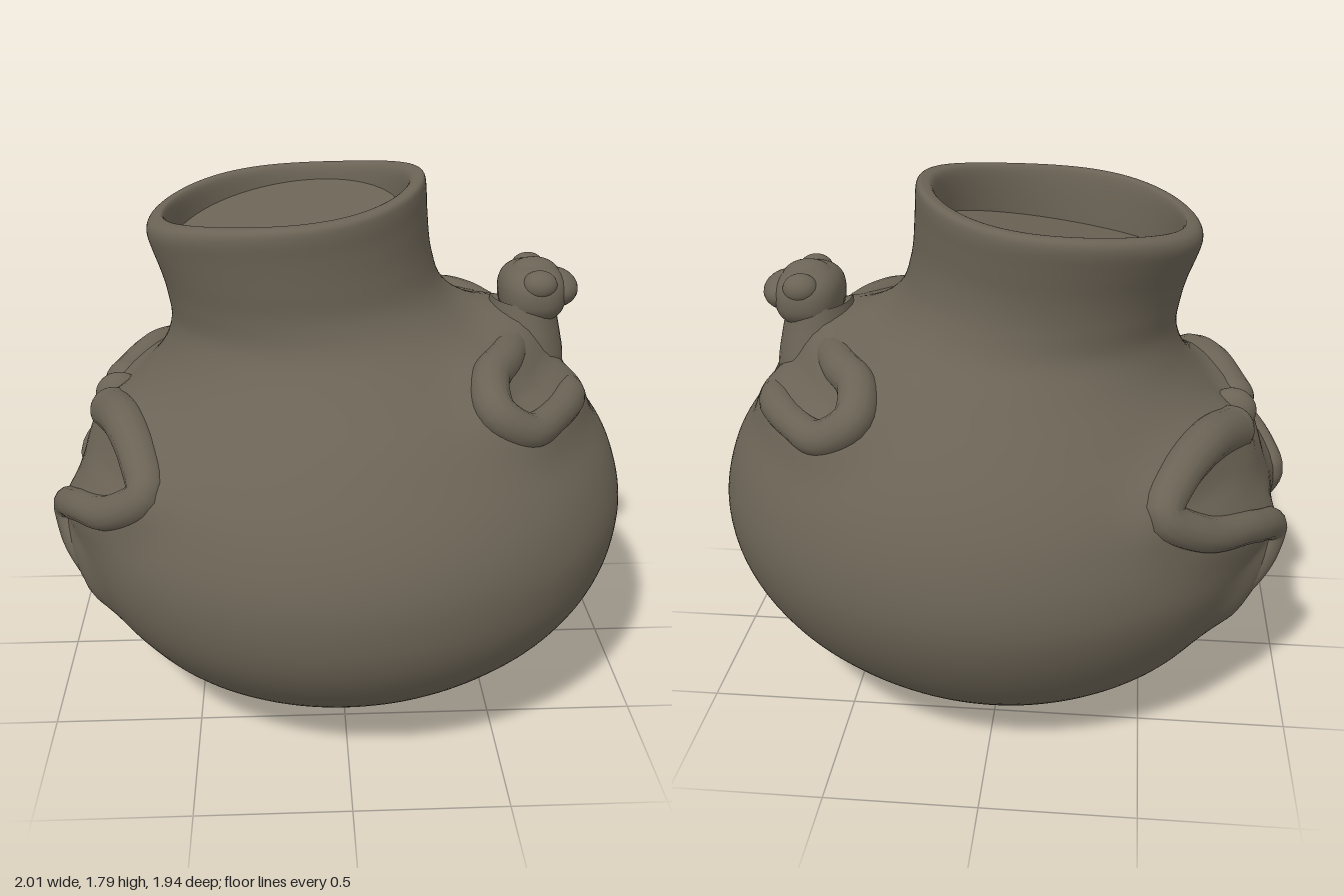
import * as THREE from 'three';

// Vessel cross-sections: y, xMin, xMax, zMin, zMax (outside wall, lip, inside wall)
const SECTIONS = [
  [0, -0.06, -0.04, -0.11, -0.09], [0.012, -0.2, 0.12, -0.3, 0.12], [0.04, -0.38, 0.31, -0.46, 0.36],
  [0.1, -0.56, 0.52, -0.6, 0.56], [0.2, -0.73, 0.71, -0.74, 0.74], [0.3, -0.82, 0.84, -0.83, 0.845],
  [0.4, -0.885, 0.92, -0.895, 0.915], [0.5, -0.925, 0.97, -0.94, 0.955], [0.6, -0.945, 0.995, -0.965, 0.97],
  [0.7, -0.94, 1.0, -0.965, 0.965], [0.8, -0.91, 0.98, -0.945, 0.935], [0.9, -0.87, 0.94, -0.905, 0.88],
  [1.0, -0.79, 0.87, -0.84, 0.8], [1.1, -0.69, 0.79, -0.75, 0.7], [1.2, -0.61, 0.67, -0.64, 0.57],
  [1.3, -0.575, 0.48, -0.54, 0.46], [1.4, -0.585, 0.36, -0.51, 0.425], [1.5, -0.605, 0.315, -0.51, 0.425],
  [1.6, -0.63, 0.3, -0.53, 0.43], [1.67, -0.645, 0.295, -0.545, 0.437], [1.705, -0.637, 0.287, -0.54, 0.43],
  [1.715, -0.61, 0.265, -0.515, 0.4], [1.7, -0.585, 0.235, -0.485, 0.375], [1.6, -0.575, 0.22, -0.475, 0.36],
  [1.42, -0.565, 0.21, -0.465, 0.35],
];
const OUTER = 19; // sections up to here form the outside wall
const STEPS = 5;
const AROUND = 160;

// Smoothly resample the sections
const at = (i) => SECTIONS[Math.max(0, Math.min(SECTIONS.length - 1, i))];
const rows = [];
for (let i = 0; i < SECTIONS.length - 1; i++) {
  for (let s = 0; s < STEPS; s++) {
    const f = s / STEPS;
    rows.push(at(i).map((p1, k) => {
      const p0 = at(i - 1)[k], p2 = at(i + 1)[k], p3 = at(i + 2)[k];
      return p1 + 0.5 * f * (p2 - p0 + f * (2 * p0 - 5 * p1 + 4 * p2 - p3 + f * (3 * (p1 - p2) + p3 - p0)));
    }));
  }
}
rows.push(at(SECTIONS.length - 1));

// Point on a section; the mouth tilts, rising towards +x
function ring([y, x0, x1, z0, z1], t) {
  const x = (x0 + x1) / 2 + (x1 - x0) / 2 * Math.cos(t);
  const z = (z0 + z1) / 2 + (z1 - z0) / 2 * Math.sin(t);
  const n = (x + 0.18) / 0.46;
  return new THREE.Vector3(x, y + (0.03 * n + 0.042 * n ** 3) * THREE.MathUtils.smoothstep(y, 1.35, 1.7), z);
}

function sectionAt(y) {
  let i = 0;
  while (i < OUTER * STEPS - 1 && rows[i + 1][0] < y) i++;
  const f = (y - rows[i][0]) / (rows[i + 1][0] - rows[i][0]);
  return rows[i].map((v, k) => THREE.MathUtils.lerp(v, rows[i + 1][k], f));
}

// Point on the outside wall at angle t and height y, pushed out along the normal
function onWall(t, y, out) {
  const p = ring(sectionAt(y), t);
  const du = ring(sectionAt(y + 0.02), t).sub(ring(sectionAt(y - 0.02), t));
  const dt = ring(sectionAt(y), t + 0.02).sub(ring(sectionAt(y), t - 0.02));
  return p.addScaledVector(du.cross(dt).normalize(), out);
}

// Limb paths: angle from the animal's middle line, height, outward offset, radius
const ARM = [
  [0.2, 1.23, -0.02, 0.07], [0.6, 1.225, 0.0, 0.065], [0.88, 1.2, 0.015, 0.065], [1.0, 1.13, 0.035, 0.065],
  [0.88, 1.075, 0.02, 0.06], [0.66, 1.075, 0.01, 0.055], [0.42, 1.08, 0.005, 0.06], [0.28, 1.08, -0.02, 0.06],
];
const LEG = [
  [0.17, 0.99, -0.01, 0.08], [0.45, 1.02, 0.01, 0.075], [0.7, 0.98, 0.015, 0.07], [0.82, 0.91, 0.015, 0.065],
  [0.68, 0.82, 0.015, 0.06], [0.4, 0.74, 0.02, 0.055], [0.23, 0.66, 0.015, 0.055], [0.3, 0.55, -0.01, 0.065],
  [0.42, 0.45, -0.035, 0.06],
];
const limbs = [];
for (const side of [1, -1]) {
  const names = side > 0 ? ['left', 'right'] : ['right', 'left'];
  for (const [name, path, mid, dir] of [[names[0] + 'Arm', ARM, -0.04, side], [names[1] + 'Leg', LEG, Math.PI + 0.07, -side]]) {
    const curve = new THREE.CatmullRomCurve3(path.map(([t, y, out]) => onWall(mid + dir * t, y, out)), false, 'centripetal');
    limbs.push({ name, path, curve, samples: curve.getPoints(60) });
  }
}

// Vessel wall, swollen beneath the limbs and around the head
const shoulder = new THREE.Vector3(0.59, 1.25, -0.05);
function swelling(p) {
  let d = 1;
  for (const limb of limbs) for (const s of limb.samples) d = Math.min(d, s.distanceTo(p));
  return 0.038 * Math.exp(-((d / 0.1) ** 2)) + 0.06 * Math.exp(-((shoulder.distanceTo(p) / 0.18) ** 2));
}

function vesselGeometry() {
  const pos = [], index = [];
  rows.forEach((row, i) => {
    for (let j = 0; j < AROUND; j++) {
      const t = j / AROUND * Math.PI * 2;
      let p = ring(row, t);
      if (i < OUTER * STEPS && row[0] > 0.25 && row[0] < 1.5) p = onWall(t, row[0], swelling(p));
      pos.push(p.x, p.y, p.z);
      if (i === rows.length - 1) continue;
      const a = i * AROUND + j, b = i * AROUND + (j + 1) % AROUND;
      index.push(a, a + AROUND, b, b, a + AROUND, b + AROUND);
    }
  });
  const g = new THREE.BufferGeometry();
  g.setAttribute('position', new THREE.Float32BufferAttribute(pos, 3));
  g.setIndex(index);
  g.computeVertexNormals();
  return g;
}

// Tube whose radius follows the path's last column
function limbGeometry({ path, curve }) {
  const seg = 64, radial = 14;
  const g = new THREE.TubeGeometry(curve, seg, 1, radial);
  const p = g.attributes.position, v = new THREE.Vector3();
  for (let i = 0; i <= seg; i++) {
    const c = curve.getPointAt(i / seg);
    const u = i / seg * (path.length - 1), k = Math.min(path.length - 2, Math.floor(u));
    const r = THREE.MathUtils.lerp(path[k][3], path[k + 1][3], u - k);
    for (let j = 0; j <= radial; j++) {
      const n = i * (radial + 1) + j;
      v.fromBufferAttribute(p, n).sub(c).multiplyScalar(r).add(c);
      p.setXYZ(n, v.x, v.y, v.z);
    }
  }
  return g;
}

// Thin oval following the underside
function undersidePatch(cx, cz, rx, rz, turn) {
  const g = new THREE.RingGeometry(0, 1, 32, 8);
  const p = g.attributes.position;
  for (let i = 0; i < p.count; i++) {
    const a = p.getX(i) * rx, b = p.getY(i) * rz;
    const x = cx + a * Math.cos(turn) - b * Math.sin(turn), z = cz + a * Math.sin(turn) + b * Math.cos(turn);
    let low = 0, high = 0.3;
    for (let n = 0; n < 24; n++) {
      const y = (low + high) / 2, [, x0, x1, z0, z1] = sectionAt(y);
      const inside = ((2 * x - x0 - x1) / (x1 - x0)) ** 2 + ((2 * z - z0 - z1) / (z1 - z0)) ** 2 <= 1;
      if (inside) high = y; else low = y;
    }
    p.setXYZ(i, x, high - 0.004, z);
  }
  g.computeVertexNormals();
  return g;
}

// Uneven surface closing the mouth, sloping down towards -x and +z
function fillGeometry() {
  const g = new THREE.CircleGeometry(1, 48).rotateX(-Math.PI / 2).scale(0.4, 1, 0.425);
  const p = g.attributes.position;
  for (let i = 0; i < p.count; i++) p.setY(i, 0.15 * (p.getX(i) - p.getZ(i)));
  g.computeVertexNormals();
  return g;
}

// Ball with squared-off corners
function boxyBall(power) {
  const g = new THREE.SphereGeometry(1, 36, 24);
  const p = g.attributes.position, sq = (v) => Math.sign(v) * Math.abs(v) ** power;
  for (let i = 0; i < p.count; i++) p.setXYZ(i, sq(p.getX(i)), sq(p.getY(i)), sq(p.getZ(i)));
  g.computeVertexNormals();
  return g;
}

export function createModel() {
  const model = new THREE.Group();
  const clay = new THREE.MeshStandardMaterial({ color: 0x6b6355 });
  clay.name = 'brown clay';
  const pale = new THREE.MeshStandardMaterial({ color: 0xe2eaea, side: THREE.DoubleSide });
  pale.name = 'pale grey';

  const add = (name, geometry, material = clay, parent = model) => {
    const mesh = new THREE.Mesh(geometry, material);
    mesh.name = name;
    parent.add(mesh);
    return mesh;
  };
  const ball = new THREE.SphereGeometry(1, 28, 20);
  const blob = (name, x, y, z, rx, ry, rz, parent, geometry = ball) => {
    const mesh = add(name, geometry, clay, parent);
    mesh.position.set(x, y, z);
    mesh.scale.set(rx, ry, rz);
  };

  add('vessel', vesselGeometry());
  add('fill', fillGeometry()).position.set(-0.178, 1.59, -0.057);

  // Limbs with rounded ends
  for (const limb of limbs) {
    const group = new THREE.Group();
    group.name = limb.name;
    model.add(group);
    add('limb', limbGeometry(limb), clay, group);
    for (const [u, k] of [[0, 0], [1, limb.path.length - 1]]) {
      const c = limb.curve.getPoint(u), r = limb.path[k][3];
      blob('limbEnd', c.x, c.y, c.z, r, r, r, group);
    }
  }

  // Blunt head rising from the shoulder
  const head = new THREE.Group();
  head.name = 'head';
  head.position.z = -0.05;
  model.add(head);
  const flare = [[0.175, -0.15], [0.17, -0.05], [0.155, 0.02], [0.14, 0.08], [0.125, 0.15]].map(([r, y]) => new THREE.Vector2(r, y));
  const neck = add('neck', new THREE.LatheGeometry(new THREE.SplineCurve(flare).getPoints(16), 32), clay, head);
  neck.position.set(0.645, 1.2, 0);
  neck.scale.set(0.88, 1, 1.2);
  blob('skull', 0.675, 1.365, 0, 0.115, 0.1, 0.165, head, boxyBall(0.82));
  blob('snout', 0.75, 1.375, 0, 0.085, 0.065, 0.12, head);
  blob('crown', 0.68, 1.42, 0, 0.09, 0.06, 0.08, head);
  for (const s of [1, -1]) blob('eye', 0.68, 1.415, s * 0.115, 0.06, 0.05, 0.055, head);

  // Small tail knob between the legs
  blob('tail', -0.78, 0.99, -0.07, 0.085, 0.08, 0.065);

  add('undersidePatch', undersidePatch(-0.17, 0.04, 0.11, 0.25, 0.4), pale);
  add('undersideSpot', undersidePatch(-0.07, -0.28, 0.025, 0.025, 0), pale);
  return model;
}
